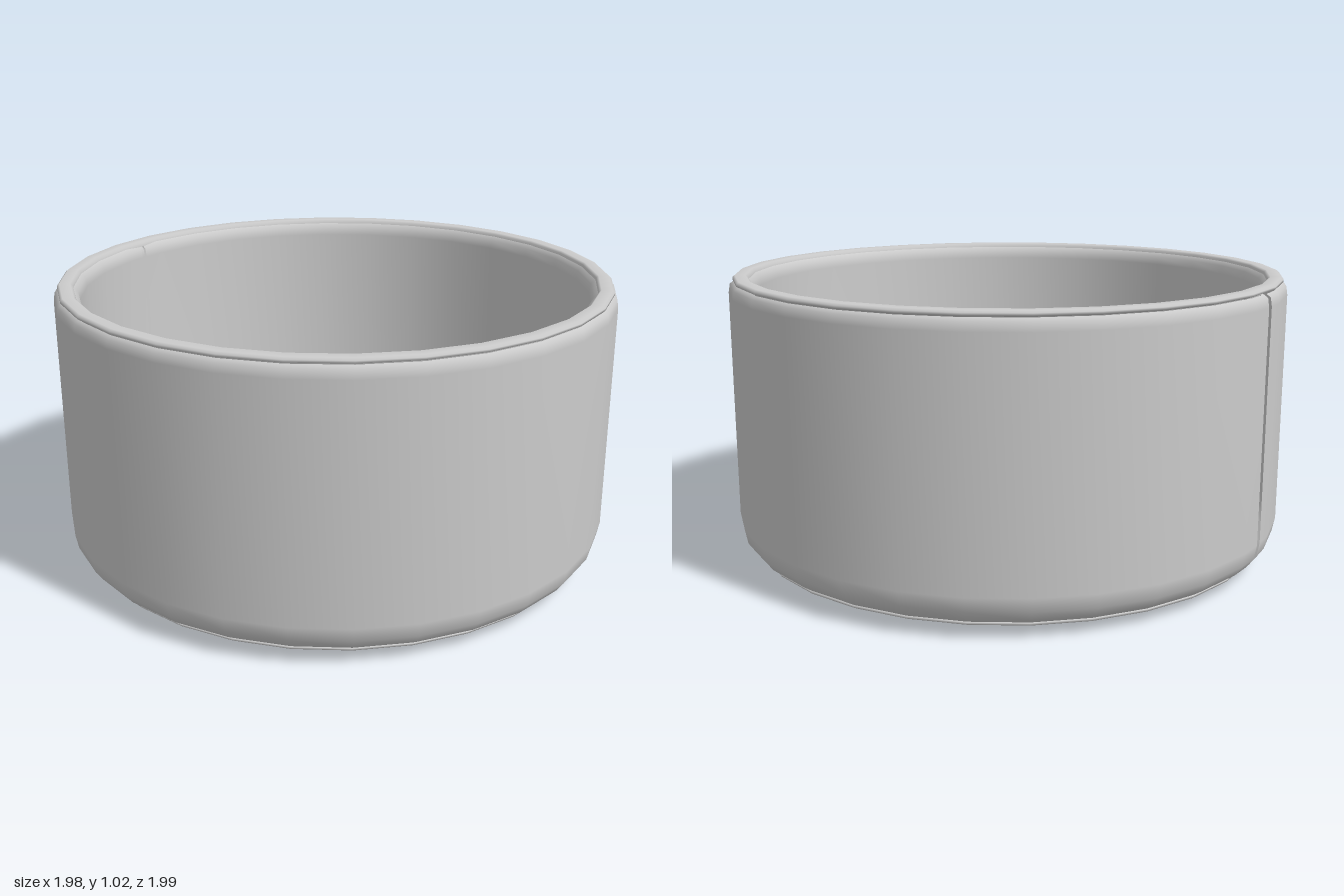
import * as THREE from 'three';

const STEP = Math.PI / 15; // 30 sides
const material = new THREE.MeshStandardMaterial({ color: 0xcccccc, side: THREE.DoubleSide });

// Profiles run up the outside and down the inside as [radius, height]
const OUTER = [[0.93, 0.045], [0.96, 0.065], [0.985, 0.1], [0.995, 0.15], [0.995, 0.96], [0.99, 0.99], [0.975, 1.0]];
const INNER = [[0.925, 1.005], [0.91, 0.99], [0.905, 0.96], [0.905, 0.2], [0.885, 0.12], [0.83, 0.085], [0.7, 0.07], [0, 0.07]];
const RIM = [[0.965, 1.0], [0.98, 1.005], [0.98, 1.013], [0.972, 1.02], [0.935, 1.02], [0.927, 1.013], [0.925, 1.0]];
const BASE = [[0, 0], [0.78, 0], [0.86, 0.015], [0.93, 0.035], [0.935, 0.045], [0.92, 0.05]];

function turned(name, profile, segments = 30, start = 0, length = Math.PI * 2, offset = 0) {
  const points = profile.map(([r, y]) => new THREE.Vector2(Math.max(0, r + offset), y));
  const mesh = new THREE.Mesh(new THREE.LatheGeometry(points, segments, start, length), material);
  mesh.name = name;
  return mesh;
}

// A wall skin with a narrow vertical seam groove on the -x side
function seamedWall(name, profile, offset) {
  const group = new THREE.Group();
  group.name = name;
  const a = 23 * STEP, g0 = a + 0.45 * STEP, g1 = a + 0.57 * STEP, b = 24 * STEP;
  group.add(
    turned(name + 'Main', profile, 29, b, 29 * STEP),
    turned(name + 'SeamBack', profile, 1, a, g0 - a),
    turned(name + 'SeamGroove', profile, 1, g0, g1 - g0, offset),
    turned(name + 'SeamFront', profile, 1, g1, b - g1)
  );
  return group;
}

export function createModel() {
  const model = new THREE.Group();
  model.name = 'roundContainer';
  model.add(
    seamedWall('outerWall', OUTER, -0.012),
    seamedWall('innerWall', INNER, 0.01),
    turned('rim', RIM),
    turned('base', BASE)
  );
  return model;
}
